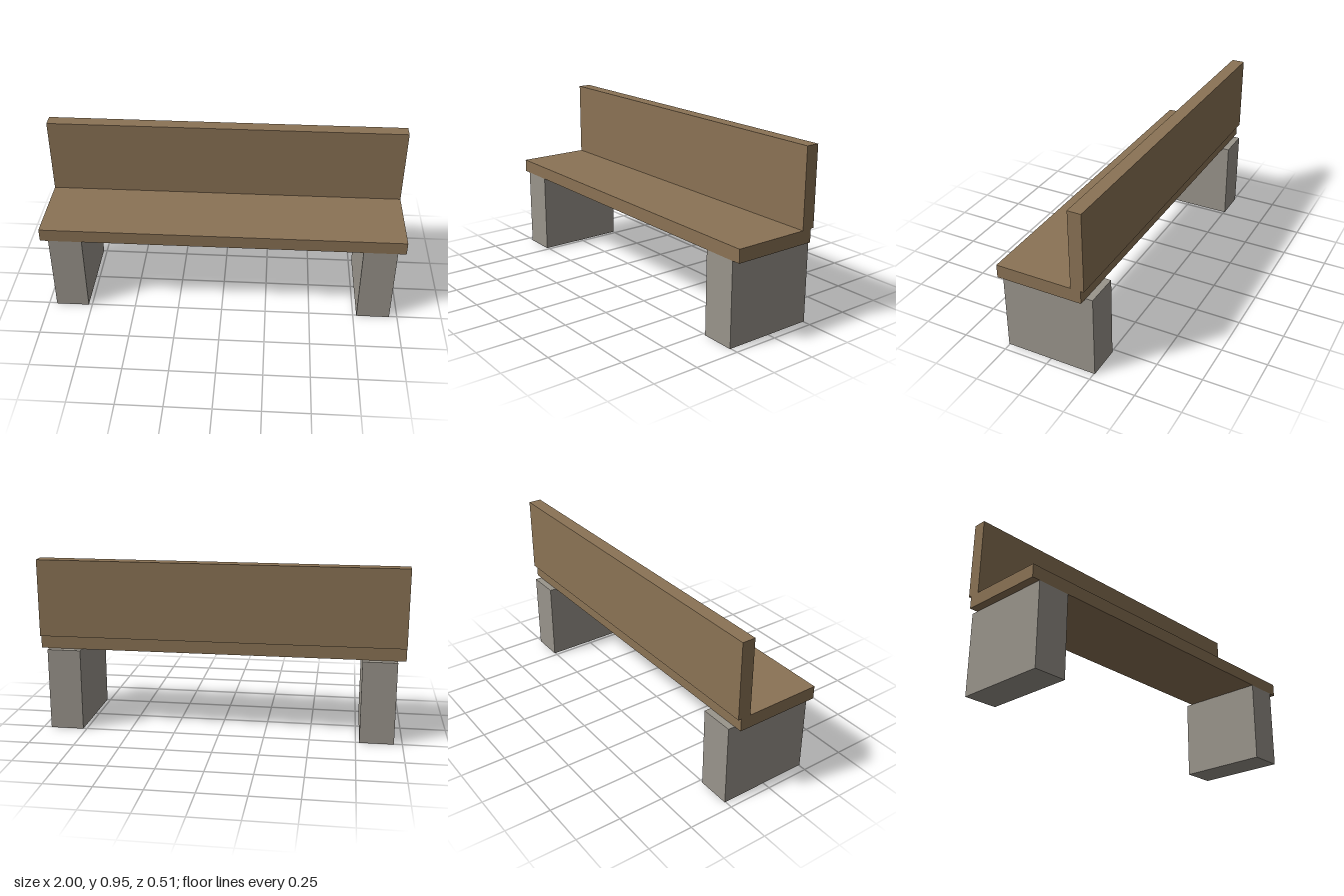
import * as THREE from 'three';

const wood = new THREE.MeshStandardMaterial({ name: 'wood', color: 0x8b7355 });
const stone = new THREE.MeshStandardMaterial({ name: 'stone', color: 0x9a958c });

// Box given by its lower and upper limits on each axis
function block(name, material, [x0, x1], [y0, y1], [z0, z1]) {
  const mesh = new THREE.Mesh(new THREE.BoxGeometry(x1 - x0, y1 - y0, z1 - z0), material);
  mesh.position.set((x0 + x1) / 2, (y0 + y1) / 2, (z0 + z1) / 2);
  mesh.name = name;
  return mesh;
}

export function createModel() {
  const bench = new THREE.Group();
  bench.name = 'bench';

  // Seat plank and upright backrest, slightly overhanging the seat's rear edge
  bench.add(block('seat', wood, [-1, 1], [0.456, 0.528], [-0.218, 0.255]));
  bench.add(block('backrest', wood, [-1, 1], [0.528, 0.955], [-0.236, -0.163]));

  // Stone supports
  bench.add(block('leftSupport', stone, [0.77, 0.955], [0, 0.456], [-0.255, 0.255]));
  bench.add(block('rightSupport', stone, [-0.955, -0.77], [0, 0.456], [-0.255, 0.255]));

  return bench;
}
